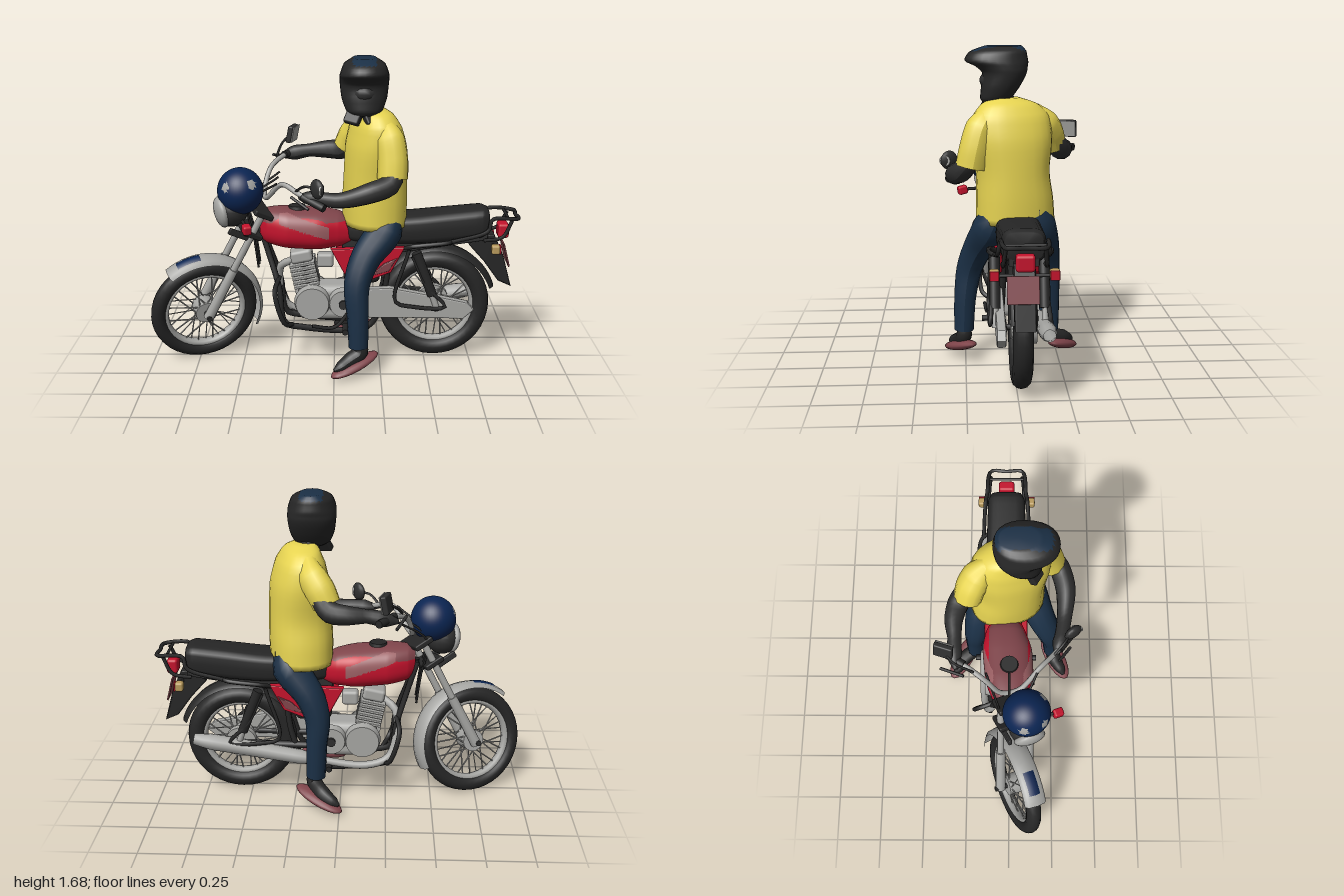
import * as THREE from 'three';
import { RoundedBoxGeometry } from 'three/addons/geometries/RoundedBoxGeometry.js';

const V = (a) => new THREE.Vector3(a[0], a[1], a[2]);
const mat = (name, color, side = THREE.FrontSide) => {
  const m = new THREE.MeshStandardMaterial({ color, side });
  m.name = name;
  return m;
};

export function createModel() {
  const black = mat('black', 0x262626, THREE.DoubleSide);
  const charcoal = mat('charcoal', 0x2f2f2f, THREE.DoubleSide);
  const metal = mat('metal', 0xa6a6a3, THREE.DoubleSide);
  const red = mat('red', 0xc4122c);
  const maroon = mat('maroon', 0x80454b);
  const rose = mat('dusty rose', 0x9c6064);
  const blue = mat('cowl blue', 0x0b2552, THREE.DoubleSide);
  const denim = mat('denim', 0x1b3046);
  const yellow = mat('yellow', 0xe8d552, THREE.DoubleSide);
  const tan = mat('tan', 0xb89a5c);

  const model = new THREE.Group();
  const group = (name, parent = model) => {
    const g = new THREE.Group();
    g.name = name;
    parent.add(g);
    return g;
  };
  const add = (parent, name, geo, m, pos = [0, 0, 0], rot = [0, 0, 0]) => {
    const mesh = new THREE.Mesh(geo, m);
    mesh.name = name;
    mesh.position.set(...pos);
    mesh.rotation.set(...rot);
    parent.add(mesh);
    return mesh;
  };
  const box = (parent, name, size, m, pos, rot) =>
    add(parent, name, new RoundedBoxGeometry(...size, 2, Math.min(...size) * 0.25), m, pos, rot);
  // Round bar along a smooth path
  const tube = (parent, name, pts, r, m, segs = 6) =>
    add(parent, name, new THREE.TubeGeometry(new THREE.CatmullRomCurve3(pts.map(V), false, 'centripetal'), pts.length * 5, r, segs), m);
  const rod = (parent, name, a, b, r, m, r2 = r, sides = 10) => {
    const d = V(b).sub(V(a));
    const mesh = add(parent, name, new THREE.CylinderGeometry(r2, r, d.length(), sides), m);
    mesh.position.copy(V(a)).addScaledVector(d, 0.5);
    mesh.quaternion.setFromUnitVectors(new THREE.Vector3(0, 1, 0), d.normalize());
    return mesh;
  };
  // Limb: points are [x, y, z, radius]
  const limb = (parent, name, pts, m) => {
    const c = new THREE.CatmullRomCurve3(pts.map(V), false, 'centripetal'), N = 18, S = 12;
    const geo = new THREE.TubeGeometry(c, N, 1, S), p = geo.attributes.position;
    for (let i = 0; i <= N; i++) {
      const o = c.getPointAt(i / N), t = c.getUtoTmapping(i / N) * (pts.length - 1);
      const k = Math.min(Math.floor(t), pts.length - 2);
      const r = THREE.MathUtils.lerp(pts[k][3], pts[k + 1][3], t - k);
      for (let j = 0; j <= S; j++) {
        const n = i * (S + 1) + j;
        const v = new THREE.Vector3().fromBufferAttribute(p, n).sub(o).multiplyScalar(r).add(o);
        p.setXYZ(n, v.x, v.y, v.z);
      }
    }
    geo.computeVertexNormals();
    return add(parent, name, geo, m);
  };
  // Smooth loft through ellipses [x, y, z, a, b], stacked along x or y; pw < 1 squares them
  const loft = (secs, axis, pw = 1, n = 24, sub = 4) => {
    const C = new THREE.CatmullRomCurve3(secs.map(V)), R = new THREE.CatmullRomCurve3(secs.map((s) => new THREE.Vector3(s[3], s[4], 0)));
    const N = (secs.length - 1) * sub, pos = [], idx = [];
    const f = (v) => Math.sign(v) * Math.abs(v) ** pw;
    const tri = (a, b, c) => (axis === 'x' ? idx.push(a, b, c) : idx.push(a, c, b));
    for (let i = 0; i <= N; i++) {
      const o = C.getPoint(i / N), r = R.getPoint(i / N);
      for (let j = 0; j < n; j++) {
        const t = (j / n) * Math.PI * 2, a = r.x * f(Math.cos(t)), b = r.y * f(Math.sin(t));
        pos.push(o.x + (axis === 'y' ? a : 0), o.y + (axis === 'x' ? a : 0), o.z + b);
        const q = i * n + j, s = i * n + ((j + 1) % n);
        if (i < N) { tri(q, s, q + n); tri(s, s + n, q + n); }
      }
    }
    const e = (N + 1) * n;
    pos.push(...secs[0].slice(0, 3), ...secs[secs.length - 1].slice(0, 3));
    for (let j = 0; j < n; j++) {
      const k = (j + 1) % n;
      tri(e, k, j);
      tri(e + 1, N * n + j, N * n + k);
    }
    const geo = new THREE.BufferGeometry();
    geo.setAttribute('position', new THREE.Float32BufferAttribute(pos, 3));
    geo.setIndex(idx);
    geo.computeVertexNormals();
    return geo;
  };
  // Sort faces into material groups; the rule maps a face centre to a material index
  const paint = (geo, rule) => {
    const src = geo.index.array, p = geo.attributes.position, lists = [[], [], []];
    for (let i = 0; i < src.length; i += 3) {
      const c = new THREE.Vector3();
      for (let k = 0; k < 3; k++) c.add(new THREE.Vector3().fromBufferAttribute(p, src[i + k]));
      lists[rule(c.divideScalar(3))].push(src[i], src[i + 1], src[i + 2]);
    }
    geo.setIndex(lists.flat());
    let start = 0;
    lists.forEach((l, i) => {
      if (l.length) geo.addGroup(start, l.length, i);
      start += l.length;
    });
    return geo;
  };
  // Flat part cut in the side plane
  const plate = (parent, name, pts, depth, m, z) =>
    add(parent, name, new THREE.ExtrudeGeometry(new THREE.Shape(pts.map((p) => new THREE.Vector2(...p))),
      { depth, bevelSize: 0.008, bevelThickness: 0.008, bevelSegments: 2 }), m, [0, 0, z - depth / 2]);
  // Curved mudguard; angles run from the bottom through the rear to the top
  const guard = (parent, name, r, w, from, to, m) => {
    const prof = [[-0.03, -1], [-0.008, -0.75], [0, 0], [-0.008, 0.75], [-0.03, 1]].map(([d, h]) => new THREE.Vector2(r + d, h * w));
    return add(parent, name, new THREE.LatheGeometry(prof, 24, from, to - from), m, [0, 0, 0], [Math.PI / 2, 0, 0]);
  };
  const wheel = (parent, name, pos, R, w) => {
    const g = group(name, parent);
    g.position.set(...pos);
    add(g, 'tyre', new THREE.TorusGeometry(R - w, w, 12, 40), black);
    add(g, 'rim', new THREE.TorusGeometry(R - w * 1.85, 0.019, 8, 40), metal).scale.z = 1.6;
    add(g, 'hub', new THREE.CylinderGeometry(0.06, 0.06, 0.1, 20), metal, [0, 0, 0], [Math.PI / 2, 0, 0]);
    add(g, 'axle', new THREE.CylinderGeometry(0.015, 0.015, 0.24, 8), charcoal, [0, 0, 0], [Math.PI / 2, 0, 0]);
    for (let i = 0; i < 32; i++) {
      const a = (i / 32) * Math.PI * 2, b = a + (i % 4 < 2 ? 0.5 : -0.5), s = i % 2 ? 0.04 : -0.04, q = R - w * 1.9;
      rod(g, 'spoke', [0.055 * Math.cos(b), 0.055 * Math.sin(b), s], [q * Math.cos(a), q * Math.sin(a), 0], 0.004, metal, 0.004, 4);
    }
    return g;
  };

  // Steered front end, turned about its raked axis
  const steer = group('frontEnd');
  const front = group('steeredParts', steer);
  front.position.set(0.4, -0.8, 0);
  steer.position.set(-0.4, 0.8, 0.015);
  steer.quaternion.setFromAxisAngle(new THREE.Vector3(0.47, 0.883, 0), 0.42);
  const fw = wheel(front, 'frontWheel', [-0.72, 0.292, 0], 0.297, 0.042);
  guard(fw, 'frontMudguard', 0.33, 0.062, 1.15, 3.8, metal);
  guard(fw, 'mudguardStripe', 0.334, 0.04, 3.2, 3.6, blue);
  for (const s of [-1, 1]) {
    rod(front, 'forkLower', [-0.72, 0.28, s * 0.085], [-0.575, 0.56, s * 0.085], 0.029, metal, 0.026);
    rod(front, 'forkUpper', [-0.575, 0.56, s * 0.085], [-0.42, 0.86, s * 0.085], 0.019, metal);
    box(front, 'lampBracket', [0.13, 0.035, 0.02], charcoal, [-0.54, 0.77, s * 0.085], [0, 0, -0.5]);
  }
  rod(front, 'indicatorStem', [-0.52, 0.84, 0.07], [-0.53, 0.86, 0.18], 0.009, black);
  box(front, 'frontIndicator', [0.045, 0.05, 0.055], red, [-0.535, 0.86, 0.2]);
  for (const [x, y] of [[-0.47, 0.76], [-0.41, 0.87]]) box(front, 'forkYoke', [0.11, 0.03, 0.22], black, [x, y, 0], [0, 0, -0.49]);
  const spots = [[-0.8, 0.45, 0.4], [-0.8, 0.3, -0.5], [0.3, 0.6, 0.74]].map(V);
  const cowl = paint(new THREE.SphereGeometry(1, 44, 30), (c) => (spots.some((s) => s.distanceTo(c) < 0.2) ? 1 : 0));
  add(front, 'headlampCowl', cowl, [blue, metal], [-0.51, 0.985, 0]).scale.set(0.122, 0.125, 0.125);
  add(front, 'headlampShell', new THREE.SphereGeometry(0.09, 16, 12), charcoal, [-0.56, 0.88, 0]);
  add(front, 'headlampLens', new THREE.SphereGeometry(1, 18, 12), metal, [-0.615, 0.875, 0], [0, 0, 0.15]).scale.set(0.038, 0.085, 0.085);

  // Handlebar, grips, levers and mirrors
  const bars = group('handlebar');
  tube(bars, 'bar', [[-0.06, 0.955, 0.33], [-0.18, 1.0, 0.24], [-0.27, 1.03, 0.16], [-0.36, 0.93, 0.05], [-0.38, 0.94, -0.04], [-0.35, 1.05, -0.12], [-0.3, 1.09, -0.2], [-0.21, 1.1, -0.35]], 0.014, metal, 8);
  for (const [a, b, l, mb, mm, mt] of [
    [[-0.05, 0.95, 0.335], [-0.16, 0.99, 0.26], [-0.13, 0.94, 0.32], [-0.2, 1.01, 0.23], [-0.15, 1.05, 0.28], [-0.09, 1.05, 0.32]],
    [[-0.2, 1.1, -0.36], [-0.28, 1.1, -0.23], [-0.29, 1.07, -0.35], [-0.32, 1.1, -0.18], [-0.29, 1.16, -0.28], [-0.24, 1.2, -0.33]]]) {
    rod(bars, 'grip', a, b, 0.021, black);
    rod(bars, 'lever', l, [b[0] - 0.06, b[1], b[2]], 0.008, charcoal);
    tube(bars, 'mirrorStem', [mb, mm, mt], 0.007, black);
  }
  add(bars, 'leftMirror', new THREE.SphereGeometry(1, 14, 10), charcoal, [-0.085, 1.05, 0.33], [0, 0.6, 0]).scale.set(0.025, 0.052, 0.052);
  add(bars, 'leftMirrorGlass', new THREE.CylinderGeometry(0.03, 0.03, 0.008, 16), metal, [-0.062, 1.05, 0.352], [0, -0.3, Math.PI / 2]);
  box(bars, 'rightMirror', [0.03, 0.095, 0.1], charcoal, [-0.24, 1.2, -0.33], [0, -0.3, -0.2]);
  box(bars, 'rightMirrorGlass', [0.006, 0.09, 0.095], metal, [-0.222, 1.2, -0.325], [0, -0.3, -0.2]);
  for (const z of [-0.05, 0, 0.06]) tube(bars, 'cable', [[-0.3, 1.03, z * 2.4], [-0.46, 0.9, z], [-0.43, 0.7, z], [-0.41, 0.54, z]], 0.006, black);

  // Main body of the motorcycle
  const bike = group('motorcycle');
  bike.position.z = -0.02;
  const tank = loft([[-0.4, 0.77, 0.02, 0.07, 0.055], [-0.36, 0.765, 0.02, 0.095, 0.09], [-0.25, 0.755, 0.02, 0.11, 0.13], [-0.1, 0.745, 0.01, 0.11, 0.135], [0.02, 0.74, 0, 0.095, 0.11], [0.09, 0.73, 0, 0.07, 0.08]], 'x', 0.8, 120, 14);
  add(bike, 'fuelTank', paint(tank, (c) => {
    const band = 0.83 - (c.x + 0.28) * 0.34, off = Math.abs(c.z - 0.015);
    if (c.x > -0.29 && c.x < -0.03 && off > 0.08 && Math.abs(c.y - band) < 0.034) return 2;
    return c.y > 0.8 && off < 0.105 ? 1 : 0;
  }), [red, maroon, rose]);
  add(bike, 'fuelCap', new THREE.CylinderGeometry(0.045, 0.05, 0.02, 16), black, [-0.2, 0.865, 0.02]);
  add(bike, 'seat', loft([[0.06, 0.75, 0, 0.06, 0.08], [0.12, 0.75, 0, 0.07, 0.1], [0.4, 0.75, 0, 0.08, 0.115], [0.6, 0.765, 0, 0.085, 0.11], [0.79, 0.785, 0, 0.083, 0.105], [0.83, 0.79, 0, 0.065, 0.09]], 'x', 0.55), black);
  plate(bike, 'underSeat', [[0.05, 0.6], [0.3, 0.62], [0.82, 0.7], [0.82, 0.74], [0.05, 0.7]], 0.13, charcoal, 0);
  for (const s of [-1, 1]) {
    plate(bike, 'sidePanel', [[-0.01, 0.65], [0.37, 0.66], [0.3, 0.53], [0.2, 0.49], [0.06, 0.52]], 0.025, red, s * 0.1);
    plate(bike, 'sidePanelFlash', [[0.2, 0.51], [0.29, 0.54], [0.33, 0.6], [0.27, 0.57]], 0.004, maroon, s * 0.118);
    rod(bike, 'shockSpring', [0.44, 0.64, s * 0.125], [0.53, 0.4, s * 0.125], 0.028, black);
    rod(bike, 'shockLower', [0.53, 0.4, s * 0.125], [0.56, 0.31, s * 0.125], 0.017, metal);
    rod(bike, 'swingArm', [0.1, 0.3, s * 0.085], [0.6, 0.31, s * 0.085], 0.019, charcoal);
    tube(bike, 'legGuard', [[0.4, 0.66, s * 0.14], [0.33, 0.37, s * 0.15], [0.42, 0.34, s * 0.15], [0.6, 0.34, s * 0.15], [0.5, 0.45, s * 0.14], [0.42, 0.62, s * 0.13]], 0.011, black);
    tube(bike, 'grabRail', [[0.38, 0.66, s * 0.11], [0.42, 0.68, s * 0.145], [0.6, 0.7, s * 0.145], [0.64, 0.7, s * 0.11]], 0.012, black);
    tube(bike, 'downTube', [[-0.41, 0.78, s * 0.025], [-0.36, 0.62, s * 0.04], [-0.3, 0.42, s * 0.08], [-0.27, 0.22, s * 0.09], [-0.2, 0.2, s * 0.09], [0.18, 0.2, s * 0.09], [0.26, 0.35, s * 0.08], [0.3, 0.62, s * 0.07]], 0.017, black);
    tube(bike, 'crashBar', [[-0.3, 0.48, s * 0.06], [-0.32, 0.42, s * 0.16], [-0.27, 0.25, s * 0.17], [-0.23, 0.21, s * 0.09]], 0.013, black);
    rod(bike, 'footPeg', [0.06, 0.2, s * 0.08], [0.06, 0.2, s * 0.18], 0.017, black);
    // Rear carrier and tail indicators
    tube(bike, 'carrierRail', [[0.62, 0.7, s * 0.13], [0.82, 0.76, s * 0.12], [0.84, 0.82, s * 0.11], [0.98, 0.82, s * 0.09], [0.98, 0.82, 0]], 0.011, black);
    tube(bike, 'carrierStay', [[0.8, 0.7, s * 0.1], [0.9, 0.72, s * 0.1], [0.95, 0.81, s * 0.09]], 0.01, black);
    rod(bike, 'indicatorStem', [0.86, 0.66, 0], [0.86, 0.66, s * 0.13], 0.009, black);
    box(bike, 'rearIndicator', [0.045, 0.05, 0.048], tan, [0.86, 0.665, s * 0.14]);
    box(bike, 'rearIndicatorLens', [0.008, 0.046, 0.044], red, [0.884, 0.665, s * 0.14]);
  }
  rod(bike, 'carrierSlat', [0.93, 0.82, -0.1], [0.93, 0.82, 0.1], 0.008, black);
  box(bike, 'tailLamp', [0.06, 0.08, 0.09], red, [0.915, 0.735, 0]);
  plate(bike, 'tailFender', [[0.76, 0.72], [0.86, 0.71], [0.91, 0.6], [0.96, 0.43], [0.9, 0.46], [0.82, 0.57], [0.74, 0.66]], 0.085, black, 0);
  box(bike, 'numberPlate', [0.009, 0.13, 0.15], maroon, [0.93, 0.61, 0.01], [0, 0, 0.25]);
  const rw = wheel(bike, 'rearWheel', [0.55, 0.31, 0], 0.305, 0.05);
  guard(rw, 'rearMudguard', 0.345, 0.065, 1.9, 4.2, black);
  add(rw, 'brakeDrum', new THREE.CylinderGeometry(0.085, 0.085, 0.04, 24), metal, [0, 0, -0.06], [Math.PI / 2, 0, 0]);
  plate(bike, 'chainCase', [[0.08, 0.3], [0.12, 0.42], [0.3, 0.43], [0.56, 0.38], [0.72, 0.345], [0.75, 0.31], [0.7, 0.265], [0.56, 0.27], [0.2, 0.27]], 0.03, metal, 0.1);

  // Engine and exhaust
  const engine = group('engine', bike);
  box(engine, 'crankcase', [0.36, 0.2, 0.17], metal, [-0.02, 0.33, 0]);
  for (const s of [-1, 1]) {
    add(engine, 'clutchCover', new THREE.CylinderGeometry(0.09, 0.1, 0.04, 24), metal, [-0.12, 0.34, s * 0.1], [s * Math.PI / 2, 0, 0]);
    add(engine, 'gearCover', new THREE.CylinderGeometry(0.075, 0.085, 0.04, 24), metal, [0.05, 0.34, s * 0.1], [s * Math.PI / 2, 0, 0]);
    add(engine, 'coverCap', new THREE.CylinderGeometry(0.025, 0.025, 0.02, 12), charcoal, [0.05, 0.34, s * 0.125], [Math.PI / 2, 0, 0]);
  }
  for (let i = 0; i < 6; i++) box(engine, 'coolingFin', [0.14, 0.014, 0.16], metal, [-0.15 - i * 0.005, 0.43 + i * 0.024, 0], [0, 0, 0.2]);
  rod(engine, 'cylinderBarrel', [-0.14, 0.4, 0], [-0.17, 0.57, 0], 0.055, charcoal);
  box(engine, 'cylinderHead', [0.12, 0.07, 0.12], metal, [-0.18, 0.59, 0], [0, 0, 0.2]);
  box(engine, 'carburettor', [0.09, 0.08, 0.07], metal, [-0.05, 0.56, 0]);
  box(engine, 'airBox', [0.2, 0.2, 0.14], black, [0.15, 0.54, 0]);
  tube(engine, 'exhaustPipe', [[-0.22, 0.56, 0], [-0.3, 0.5, -0.05], [-0.27, 0.26, -0.11], [-0.15, 0.21, -0.13], [0.2, 0.25, -0.13]], 0.021, metal, 10);
  limb(engine, 'muffler', [[0.1, 0.235, -0.13, 0.02], [0.22, 0.25, -0.125, 0.04], [0.7, 0.33, -0.125, 0.045], [0.8, 0.345, -0.125, 0.03]], metal);
  tube(engine, 'kickLever', [[0.08, 0.3, 0.13], [0.0, 0.22, 0.15], [-0.12, 0.23, 0.16]], 0.01, black);

  // Rider, shoulders turned slightly
  const rider = group('rider');
  const shirt = [[0, 0.78, -0.015, 0.165, 0.205], [0, 0.9, -0.01, 0.168, 0.2], [0, 1.03, 0, 0.165, 0.19], [0, 1.2, 0.005, 0.155, 0.21], [-0.005, 1.32, 0.01, 0.125, 0.2], [-0.015, 1.385, 0.015, 0.09, 0.145], [-0.03, 1.415, 0.025, 0.055, 0.07]];
  add(rider, 'shirt', loft(shirt, 'y', 0.9), yellow, [0.218, 0, 0], [0, 0.28, 0]);
  limb(rider, 'leftSleeve', [[0.25, 1.35, 0.11, 0.045], [0.285, 1.27, 0.165, 0.078], [0.3, 1.17, 0.195, 0.08], [0.3, 1.075, 0.215, 0.08]], yellow);
  limb(rider, 'rightSleeve', [[0.17, 1.35, -0.1, 0.045], [0.14, 1.28, -0.16, 0.078], [0.1, 1.22, -0.195, 0.08], [0.065, 1.15, -0.215, 0.074]], yellow);
  limb(rider, 'leftArm', [[0.3, 1.13, 0.21, 0.05], [0.29, 1.06, 0.255, 0.056], [0.18, 1.02, 0.295, 0.054], [0.03, 0.98, 0.29, 0.04], [-0.07, 0.985, 0.275, 0.036], [-0.13, 0.985, 0.26, 0.04], [-0.18, 0.985, 0.245, 0.012]], charcoal);
  limb(rider, 'rightArm', [[0.12, 1.22, -0.2, 0.05], [0.05, 1.13, -0.26, 0.058], [-0.04, 1.12, -0.285, 0.05], [-0.14, 1.115, -0.28, 0.036], [-0.23, 1.1, -0.28, 0.042], [-0.3, 1.085, -0.27, 0.012]], charcoal);
  rod(rider, 'neck', [0.18, 1.36, 0.035], [0.16, 1.46, 0.07], 0.06, black);
  for (const s of [-1, 1]) box(rider, 'collar', [0.085, 0.07, 0.04], black, [0.145 + s * 0.048, 1.375, 0.125], [-0.6, s * 0.35, s * 0.4]);
  const helmet = loft([[0.155, 1.385, 0.1, 0.06, 0.05], [0.155, 1.41, 0.085, 0.095, 0.08], [0.155, 1.47, 0.06, 0.118, 0.1], [0.155, 1.54, 0.04, 0.127, 0.115], [0.155, 1.572, 0.055, 0.128, 0.135], [0.155, 1.6, 0.08, 0.125, 0.162], [0.155, 1.645, 0.072, 0.108, 0.146], [0.155, 1.675, 0.045, 0.06, 0.095]], 'y', 0.9, 28);
  add(rider, 'helmet', paint(helmet, (c) => (c.y > 1.65 && Math.abs(c.x - 0.155) < 0.06 ? 1 : 0)), [black, denim]);
  add(rider, 'helmetOpening', new THREE.SphereGeometry(1, 16, 10), charcoal, [0.155, 1.5, 0.09]).scale.set(0.075, 0.055, 0.078);
  const legs = {
    left: [1, [[0.29, 0.84, 0.08, 0.07], [0.265, 0.76, 0.11, 0.098], [0.165, 0.63, 0.175, 0.08], [0.12, 0.5, 0.225, 0.069], [0.125, 0.34, 0.25, 0.058], [0.13, 0.16, 0.258, 0.052]]],
    right: [-1, [[0.29, 0.84, -0.1, 0.07], [0.265, 0.76, -0.125, 0.098], [0.165, 0.63, -0.17, 0.08], [0.12, 0.5, -0.19, 0.067], [0.125, 0.34, -0.2, 0.056], [0.13, 0.16, -0.2, 0.052]]],
  };
  for (const [side, [s, trouser]] of Object.entries(legs)) {
    const ankle = trouser[5][2];
    limb(rider, side + 'TrouserLeg', trouser, denim);
    limb(rider, side + 'Foot', [[0.135, 0.2, ankle, 0.035], [0.14, 0.13, ankle, 0.042], [0.09, 0.095, s * 0.275, 0.042], [0.03, 0.065, s * 0.315, 0.03], [0.0, 0.055, s * 0.33, 0.008]], black);
    const sole = add(rider, side + 'Sandal', new THREE.SphereGeometry(1, 18, 10), maroon, [0.11, 0.066, s * 0.278]);
    sole.lookAt(-0.02, 0.02, s * 0.352);
    sole.scale.set(0.058, 0.028, 0.15);
  }
  rod(rider, 'hips', [0.26, 0.83, -0.13], [0.26, 0.83, 0.11], 0.09, denim);
  return model;
}
